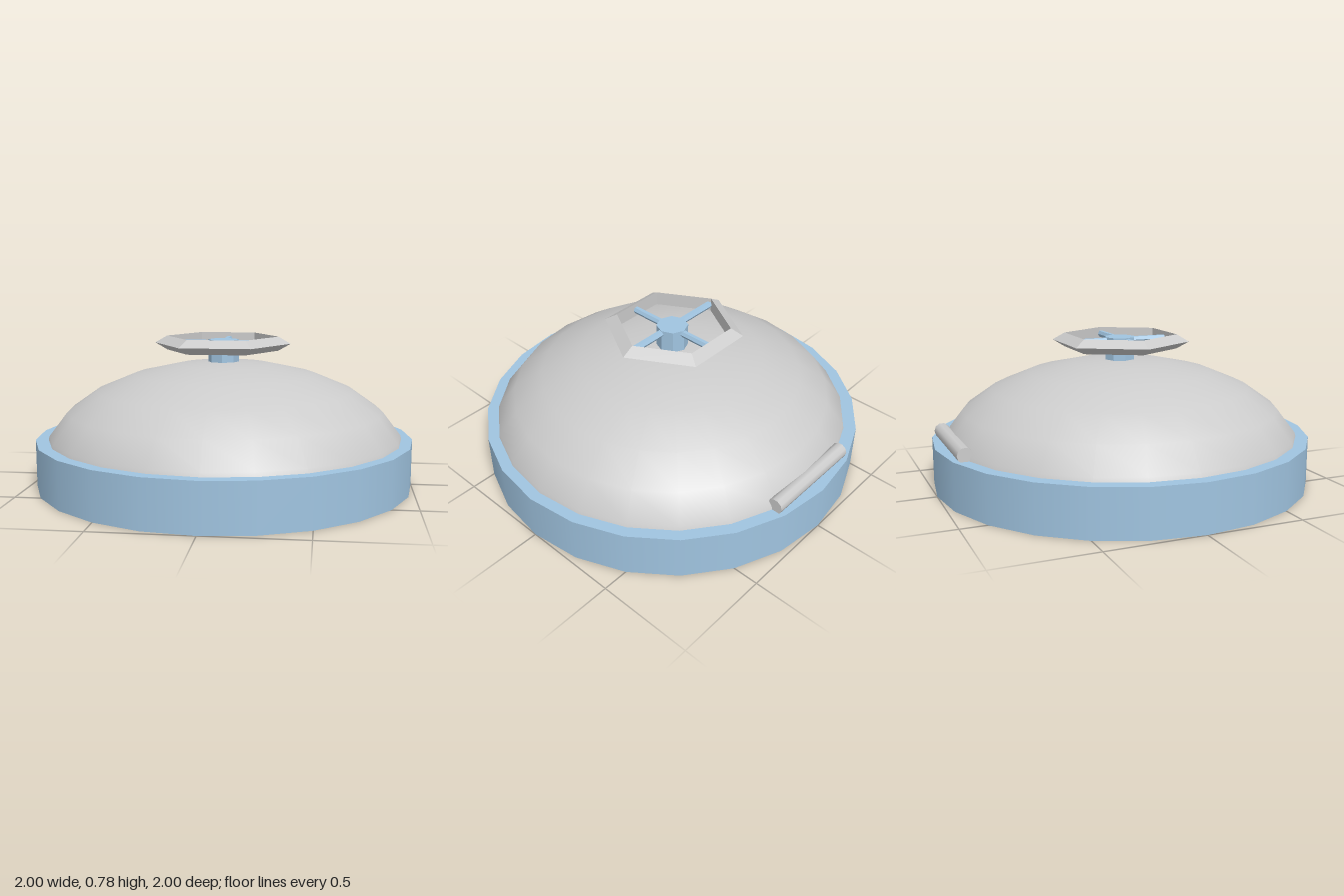
import * as THREE from 'three';

export function createModel() {
  const group = new THREE.Group();
  const grey = new THREE.MeshStandardMaterial({ color: 0xcccccc, side: THREE.DoubleSide });
  const greyFlat = new THREE.MeshStandardMaterial({ color: 0xcccccc, flatShading: true });
  const blue = new THREE.MeshStandardMaterial({ color: 0xa0c4e0, side: THREE.DoubleSide });
  const blueFlat = new THREE.MeshStandardMaterial({ color: 0xa0c4e0, flatShading: true });

  function add(name, geometry, material, x = 0, y = 0, z = 0, parent = group) {
    const mesh = new THREE.Mesh(geometry, material);
    mesh.name = name;
    mesh.position.set(x, y, z);
    parent.add(mesh);
    return mesh;
  }

  // Base: a short drum, closed on top and open underneath
  const baseHeight = 0.245;
  add('baseWall', new THREE.CylinderGeometry(1, 1, baseHeight, 24, 1, true), blue, 0, baseHeight / 2);
  add('baseTop', new THREE.CircleGeometry(1, 24).rotateX(-Math.PI / 2), blue, 0, baseHeight);

  // Domed lid: a flattened half sphere whose rim sits inside the drum
  const dome = new THREE.SphereGeometry(0.966, 24, 6, 0, Math.PI * 2, 0, Math.PI / 2);
  dome.scale(1, 0.52 / 0.966, 1);
  add('dome', dome, grey, 0.005, 0.13);

  // Hinge barrel along the back edge
  add('hinge', new THREE.CylinderGeometry(0.04, 0.04, 0.545, 10).rotateZ(Math.PI / 2), grey, -0.002, 0.275, -0.91);

  // Hand wheel: hexagonal rim of triangular section, hub and four spokes
  const wheel = new THREE.Group();
  wheel.name = 'handWheel';
  wheel.position.set(-0.01, 0.742, -0.004);
  group.add(wheel);
  add('wheelRim', new THREE.TorusGeometry(0.32, 0.043, 3, 6).rotateX(Math.PI / 2), greyFlat, 0, 0, 0, wheel);
  add('wheelHub', new THREE.CylinderGeometry(0.082, 0.082, 0.16, 8), blueFlat, 0.007, -0.06, 0, wheel);
  for (let i = 0; i < 4; i++) {
    const alongX = i % 2 === 0;
    const length = alongX ? 0.3 : 0.26;
    const spoke = new THREE.CylinderGeometry(0.019, 0.019, length, 6);
    spoke.rotateZ(-Math.PI / 2).translate(length / 2, 0, 0).rotateY(i * Math.PI / 2);
    add('wheelSpoke', spoke, blueFlat, alongX ? 0 : 0.008, 0, alongX ? 0.008 : 0, wheel);
  }

  return group;
}
